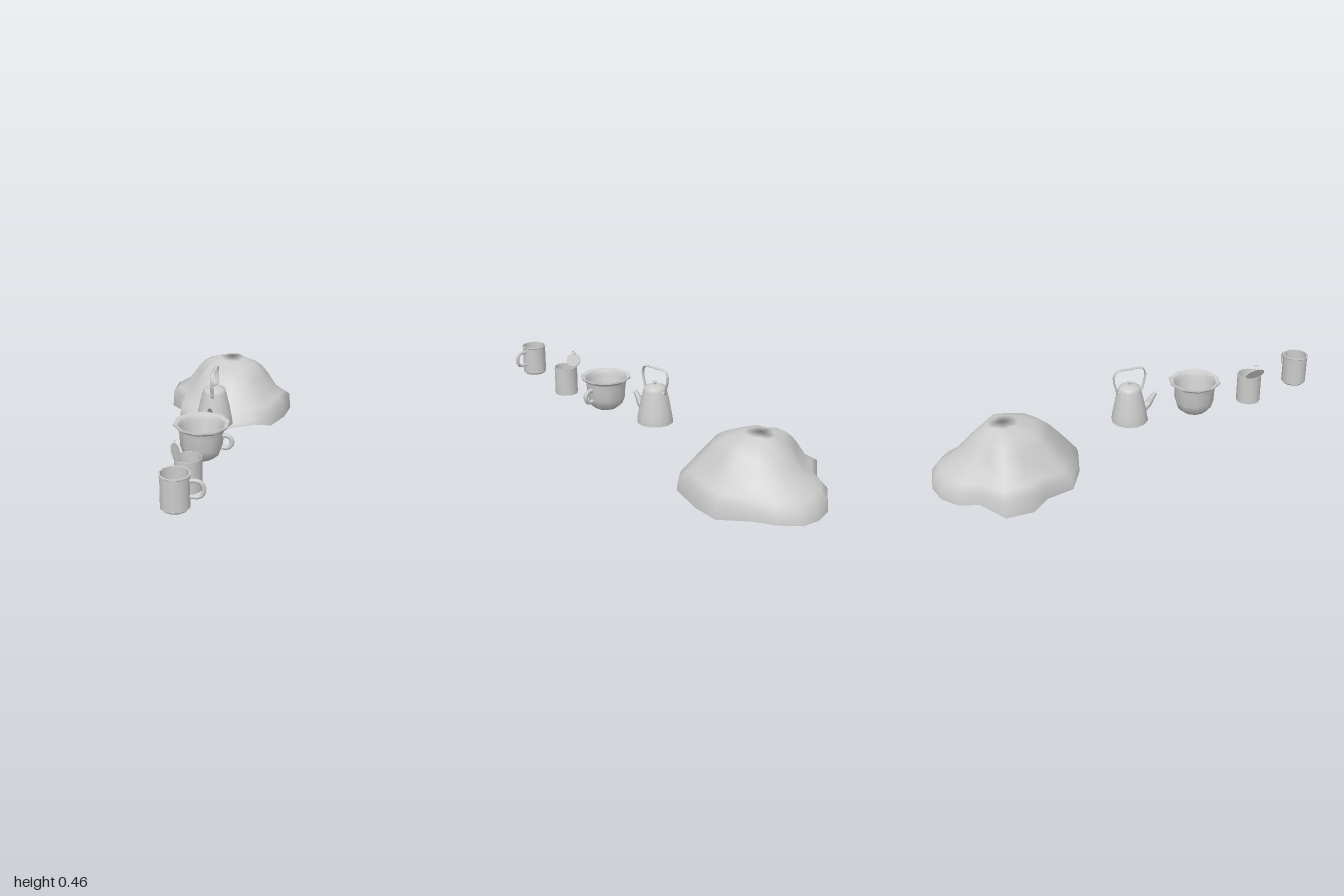
import * as THREE from 'three';
import { toCreasedNormals } from 'three/addons/utils/BufferGeometryUtils.js';

const material = new THREE.MeshStandardMaterial({ color: 0xcccccc, side: THREE.DoubleSide });

function add(parent, name, geometry) {
  const mesh = new THREE.Mesh(geometry, material);
  mesh.name = name;
  parent.add(mesh);
  return mesh;
}

// Turned part with smooth sides and sharp rims; profile is [radius, y] from the bottom up.
function turned(profile, sides) {
  const points = profile.map(([r, y]) => new THREE.Vector2(r, y));
  return toCreasedNormals(new THREE.LatheGeometry(points, sides), 0.75);
}

// Bent tube through [x, y, z] points; endScale tapers it toward the end.
function tube(points, radius, segments = 24, sides = 8, endScale = 1) {
  const curve = new THREE.CatmullRomCurve3(points.map(p => new THREE.Vector3(...p)));
  const geometry = new THREE.TubeGeometry(curve, segments, radius, sides);
  const pos = geometry.attributes.position;
  const v = new THREE.Vector3();
  for (let i = 0; i < pos.count; i++) {
    const t = Math.floor(i / (sides + 1)) / segments;
    const centre = curve.getPointAt(t);
    v.fromBufferAttribute(pos, i).sub(centre);
    v.multiplyScalar(1 + (endScale - 1) * Math.sqrt(t)).add(centre);
    pos.setXYZ(i, v.x, v.y, v.z);
  }
  return geometry;
}

function item(parent, name, z) {
  const group = new THREE.Group();
  group.name = name;
  group.position.set(0.008, 0, z);
  parent.add(group);
  return group;
}

// C-shaped side handle pointing to +x
function sideHandle(inner, outer, low, high, radius) {
  const mid = (low + high) / 2, bend = outer - 0.022;
  return tube([
    [inner, high, 0], [bend, high, 0], [outer - 0.006, high - 0.012, 0], [outer, mid, 0],
    [outer - 0.006, low + 0.012, 0], [bend, low, 0], [inner, low, 0],
  ], radius);
}

function makeMug(parent) {
  const mug = item(parent, 'mug', 0.934);
  add(mug, 'mugBody', turned([
    [0, 0.215], [0.054, 0.215], [0.062, 0.223], [0.062, 0.364], [0.066, 0.367],
    [0.066, 0.371], [0.059, 0.371], [0.058, 0.225], [0, 0.222],
  ], 12));
  add(mug, 'mugHandle', sideHandle(0.058, 0.117, 0.273, 0.342, 0.009));
}

function makeCan(parent) {
  const can = item(parent, 'openCan', 0.664);
  add(can, 'canBody', turned([
    [0, 0.162], [0.061, 0.162], [0.061, 0.31], [0.058, 0.31], [0.057, 0.168], [0, 0.168],
  ], 12));
  // Lid folded back over the rim, with its pull ring
  const lid = new THREE.CylinderGeometry(1, 1, 0.004, 12);
  lid.scale(0.036, 1, 0.053);
  lid.rotateZ(Math.atan2(0.06, -0.033));
  add(can, 'canLid', toCreasedNormals(lid, 0.75)).position.set(-0.055, 0.332, 0);
  const ring = new THREE.TorusGeometry(0.012, 0.002, 5, 12);
  ring.rotateX(Math.PI / 2);
  ring.rotateZ(Math.atan2(0.026, 0.018));
  add(can, 'pullRing', ring).position.set(-0.062, 0.372, 0);
}

function makePot(parent) {
  const pot = item(parent, 'cookingPot', 0.348);
  add(pot, 'potBody', turned([
    [0, 0.165], [0.06, 0.165], [0.086, 0.188], [0.099, 0.225], [0.102, 0.28], [0.107, 0.31],
    [0.13, 0.326], [0.13, 0.333], [0.11, 0.327], [0.098, 0.305], [0.094, 0.225],
    [0.08, 0.192], [0.056, 0.172], [0, 0.172],
  ], 10));
  add(pot, 'potHandle', sideHandle(0.094, 0.14, 0.217, 0.276, 0.011));
}

function makeKettle(parent) {
  const kettle = item(parent, 'kettle', -0.006);
  add(kettle, 'kettleBody', turned([
    [0, 0.182], [0.091, 0.182], [0.091, 0.19], [0.085, 0.225], [0.072, 0.29], [0.058, 0.345],
    [0.054, 0.36], [0.05, 0.364], [0.03, 0.372], [0, 0.376],
  ], 12));
  add(kettle, 'lidKnob', turned([
    [0.005, 0.372], [0.005, 0.38], [0.01, 0.384], [0.009, 0.39], [0, 0.392],
  ], 10));
  add(kettle, 'spout', tube([
    [0, 0.23, 0.058], [0, 0.25, 0.098], [0, 0.278, 0.118], [0, 0.304, 0.139],
  ], 0.034, 10, 8, 0.3));
  // Flat strap handle arching from front to back
  const half = [[0, 0.346, 0.052], [0, 0.338, 0.065], [0, 0.36, 0.07], [0, 0.4, 0.081],
    [0, 0.432, 0.081], [0, 0.454, 0.064]];
  const back = half.map(([x, y, z]) => [x, y, -z]).reverse();
  const strap = tube([...half, [0, 0.457, 0], ...back], 0.004, 48, 8);
  strap.scale(2.25, 1, 1);
  strap.computeVertexNormals();
  add(kettle, 'kettleHandle', strap);
}

// Draped mound: an open shell with spokes running from the peak to an uneven hem
function makeMound(parent) {
  const peak = [0, -0.65];
  const hem = [ // x, z, y
    [0.03, -1, 0.008], [0.12, -0.985, 0.012], [0.205, -0.91, 0.02], [0.243, -0.81, 0.015],
    [0.33, -0.675, 0.008], [0.308, -0.54, 0.008], [0.253, -0.38, 0.02], [0.17, -0.32, 0.045],
    [0.042, -0.27, 0.035], [-0.14, -0.327, 0.042], [-0.25, -0.396, 0.023], [-0.27, -0.528, 0.015],
    [-0.333, -0.612, 0.004], [-0.333, -0.744, 0.004], [-0.206, -0.83, 0.02],
    [-0.158, -0.92, 0.01], [-0.07, -0.98, 0.005],
  ];
  const steps = [0, 0.2, 0.4, 0.5, 0.6, 0.75, 0.88, 0.98, 1];
  const front = [0.31, 0.303, 0.28, 0.265, 0.238, 0.172, 0.11, 0.06];
  const side = [0.31, 0.306, 0.285, 0.26, 0.22, 0.145, 0.117, 0.095];
  const rear = [0.31, 0.3, 0.236, 0.198, 0.16, 0.125, 0.098, 0.06];
  const n = hem.length, position = [], index = [];
  steps.forEach((t, row) => {
    for (const [x, z, y] of hem) {
      const dx = x - peak[0], dz = z - peak[1];
      const facing = dz * dz / (dx * dx + dz * dz);
      const end = dz > 0 ? front : rear;
      const height = row === steps.length - 1 ? y : THREE.MathUtils.lerp(side[row], end[row], facing);
      position.push(peak[0] + dx * t, height, peak[1] + dz * t);
    }
  });
  for (let row = 0; row < steps.length - 1; row++) {
    for (let i = 0; i < n; i++) {
      const j = (i + 1) % n;
      const a = row * n + i, b = row * n + j, c = a + n, d = b + n;
      if (row > 0) index.push(a, b, c);
      index.push(b, d, c);
    }
  }
  const geometry = new THREE.BufferGeometry();
  geometry.setAttribute('position', new THREE.Float32BufferAttribute(position, 3));
  geometry.setIndex(index);
  // The spokes run clockwise from above, so flip each face outward
  for (let k = 0; k < index.length; k += 3) {
    const first = geometry.index.getX(k);
    geometry.index.setX(k, geometry.index.getX(k + 1));
    geometry.index.setX(k + 1, first);
  }
  geometry.computeVertexNormals();
  const normal = geometry.attributes.normal;
  for (let i = 0; i < n; i++) normal.setXYZ(i, 0, 1, 0);
  add(parent, 'drapedMound', geometry);
}

export function createModel() {
  const model = new THREE.Group();
  model.name = 'campCookware';
  makeMug(model);
  makeCan(model);
  makePot(model);
  makeKettle(model);
  makeMound(model);
  return model;
}
